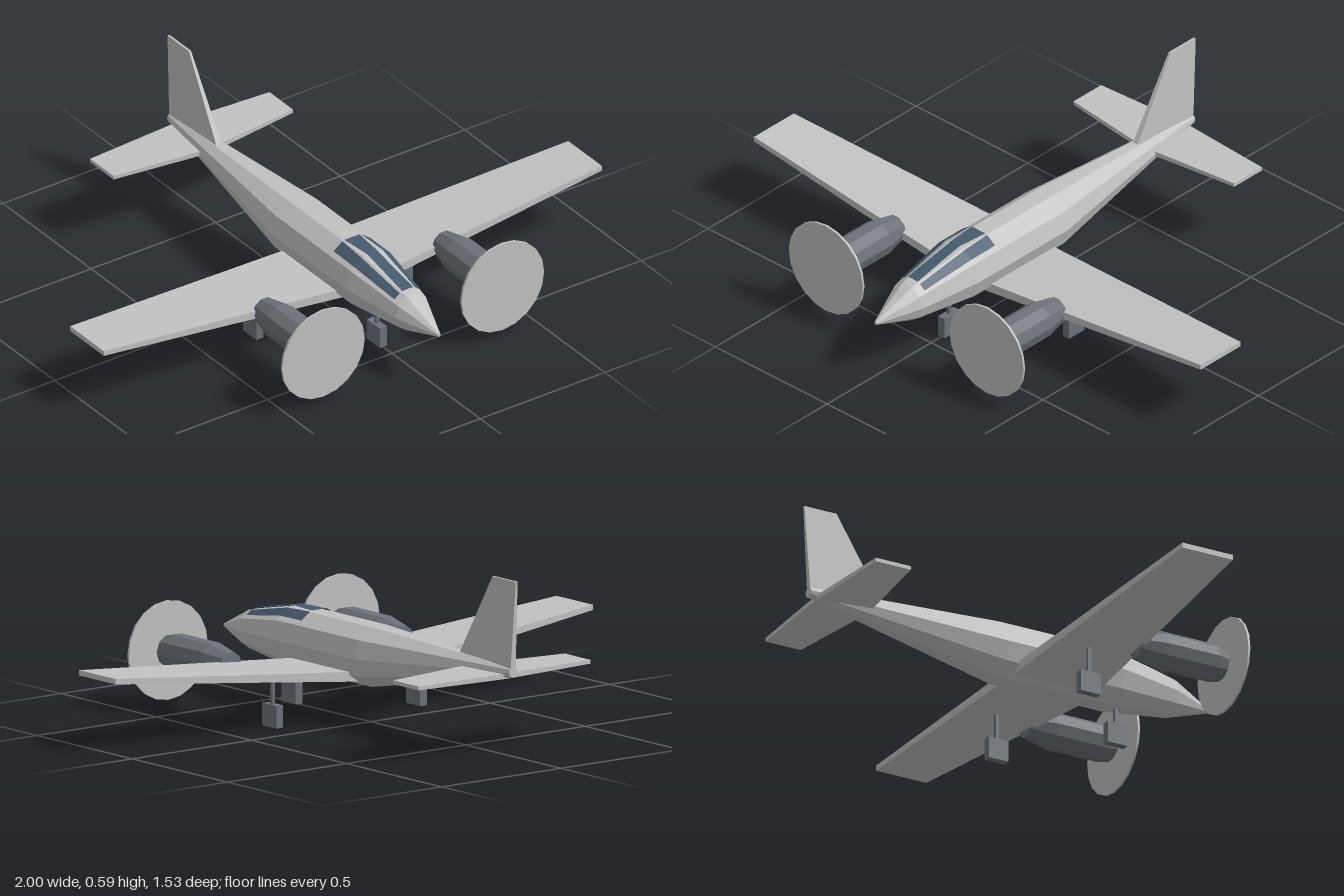
import * as THREE from 'three';

const SIDES = 10;

// Unit decagon with a flat top: corner k, counted clockwise from the top
const corner = (k) => {
  const a = ((k + 0.5) / SIDES) * Math.PI * 2;
  return [Math.sin(a), Math.cos(a)];
};

// Faceted geometry from a list of triangles
function facets(tris) {
  const g = new THREE.BufferGeometry();
  g.setAttribute('position', new THREE.Float32BufferAttribute(tris.flat(2), 3));
  g.computeVertexNormals();
  return g;
}

// Closed faceted solid through rings of equal point count
function loft(rings) {
  const tris = [];
  const n = rings[0].length;
  for (let i = 0; i < rings.length - 1; i++) {
    for (let k = 0; k < n; k++) {
      const a = rings[i][k], b = rings[i][(k + 1) % n];
      const c = rings[i + 1][(k + 1) % n], d = rings[i + 1][k];
      tris.push([a, b, c], [a, c, d]);
    }
  }
  const last = rings[rings.length - 1];
  for (let k = 1; k < n - 1; k++) {
    tris.push([rings[0][0], rings[0][k + 1], rings[0][k]], [last[0], last[k], last[k + 1]]);
  }
  // Turn the faces outward
  const V = (p) => new THREE.Vector3(...p);
  let volume = 0;
  for (const [a, b, c] of tris) volume += V(a).dot(V(b).cross(V(c)));
  if (volume < 0) tris.forEach((t) => t.reverse());
  return facets(tris);
}

// Decagonal body along z; stations are [z, centre y, radius]
const body = (stations, x = 0) => loft(stations.map(([z, y, r]) =>
  Array.from({ length: SIDES }, (_, k) => {
    const [cx, cy] = corner(k);
    return [x + cx * r, y + cy * r, z];
  })));

// Flat surface across the span; stations are [x, centre y, front z, back z, thickness]
const panel = (stations) => loft(stations.map(([x, y, f, b, t]) => [
  [x, y + t / 2, f], [x, y + t / 2, b], [x, y - t / 2, b], [x, y - t / 2, f],
]));

const HULL = [
  [0.767, 0.204, 0.006], [0.615, 0.217, 0.067], [0.385, 0.227, 0.105],
  [-0.045, 0.227, 0.105], [-0.75, 0.281, 0.018],
];

// Point on the hull skin at z, a fraction t across facet k, lifted slightly
function skin(z, k, t, lift = 0.006) {
  let i = 0;
  while (z < HULL[i + 1][0]) i++;
  const [z0, y0, r0] = HULL[i], [z1, y1, r1] = HULL[i + 1];
  const s = (z - z0) / (z1 - z0);
  const r = r0 + (r1 - r0) * s + lift, y = y0 + (y1 - y0) * s;
  const a = corner(k), b = corner(k + 1);
  return [(a[0] + (b[0] - a[0]) * t) * r, y + (a[1] + (b[1] - a[1]) * t) * r, z];
}

// Window strip on facet k; rows are [z, first fraction, last fraction]
function pane(k, rows) {
  const tris = [];
  for (let i = 0; i < rows.length - 1; i++) {
    const [z0, s0, t0] = rows[i], [z1, s1, t1] = rows[i + 1];
    const a = skin(z0, k, s0), b = skin(z0, k, t0), c = skin(z1, k, t1), d = skin(z1, k, s1);
    tris.push([a, b, c], [a, c, d]);
  }
  return facets(tris);
}

export function createModel() {
  const model = new THREE.Group();
  model.name = 'twinEngineAircraft';

  const paint = new THREE.MeshStandardMaterial({ color: 0xc2c2c2 });
  paint.name = 'lightGreyPaint';
  const metal = new THREE.MeshStandardMaterial({ color: 0x6c7178 });
  metal.name = 'darkGreyMetal';
  const glass = new THREE.MeshStandardMaterial({ color: 0x465a6e, side: THREE.DoubleSide });
  glass.name = 'blueGlass';

  const add = (name, geometry, material, x = 0, y = 0, z = 0) => {
    const mesh = new THREE.Mesh(geometry, material);
    mesh.name = name;
    mesh.position.set(x, y, z);
    model.add(mesh);
    return mesh;
  };

  add('fuselage', body(HULL), paint);

  // Tapered wing with dihedral, and tailplane
  add('wing', panel([
    [-1, 0.244, 0.278, 0.087, 0.018], [0, 0.152, 0.31, -0.005, 0.034], [1, 0.244, 0.278, 0.087, 0.018],
  ]), paint);
  add('tailplane', panel([
    [-0.36, 0.265, -0.57, -0.703, 0.013], [0, 0.265, -0.525, -0.722, 0.018], [0.36, 0.265, -0.57, -0.703, 0.013],
  ]), paint);

  // Swept fin, thinner at the top; stations are [y, front z, back z, half thickness]
  add('fin', loft([[0.28, -0.464, -0.748, 0.011], [0.587, -0.645, -0.767, 0.004]].map(
    ([y, f, b, t]) => [[t, y, f], [t, y, b], [-t, y, b], [-t, y, f]])), paint);

  // Cockpit glazing
  add('topWindow', pane(9, [[0.588, 0.04, 0.96], [0.4, 0.2, 0.8], [0.385, 0.2, 0.8], [0.272, 0.06, 0.94]]), glass);
  add('leftWindow', pane(0, [[0.588, 0.2, 0.75], [0.385, 0.15, 0.72], [0.272, 0.06, 0.7]]), glass);
  add('rightWindow', pane(8, [[0.588, 0.25, 0.8], [0.385, 0.28, 0.85], [0.272, 0.3, 0.94]]), glass);

  // Engines with propeller discs, and main landing gear
  const disc = new THREE.CylinderGeometry(0.166, 0.166, 0.008, 20).rotateX(Math.PI / 2);
  const wheel = new THREE.BoxGeometry(0.028, 0.075, 0.075);
  for (const [side, s] of [['left', 1], ['right', -1]]) {
    add(side + 'Engine', body([
      [0.605, 0.188, 0.055], [0.565, 0.188, 0.064], [0.37, 0.188, 0.064], [0.283, 0.188, 0.045],
    ], s * 0.36), metal);
    add(side + 'PropellerDisc', disc, paint, s * 0.36, 0.188, 0.616);
    add(side + 'Wheel', wheel, metal, s * 0.301, 0.0375, 0.138);
    add(side + 'Strut', new THREE.BoxGeometry(0.012, 0.11, 0.012), metal, s * 0.301, 0.125, 0.138);
  }

  // Nose landing gear
  add('noseWheel', wheel, metal, 0, 0.0375, 0.414);
  add('noseStrut', new THREE.BoxGeometry(0.012, 0.09, 0.012), metal, 0, 0.115, 0.414);

  return model;
}
